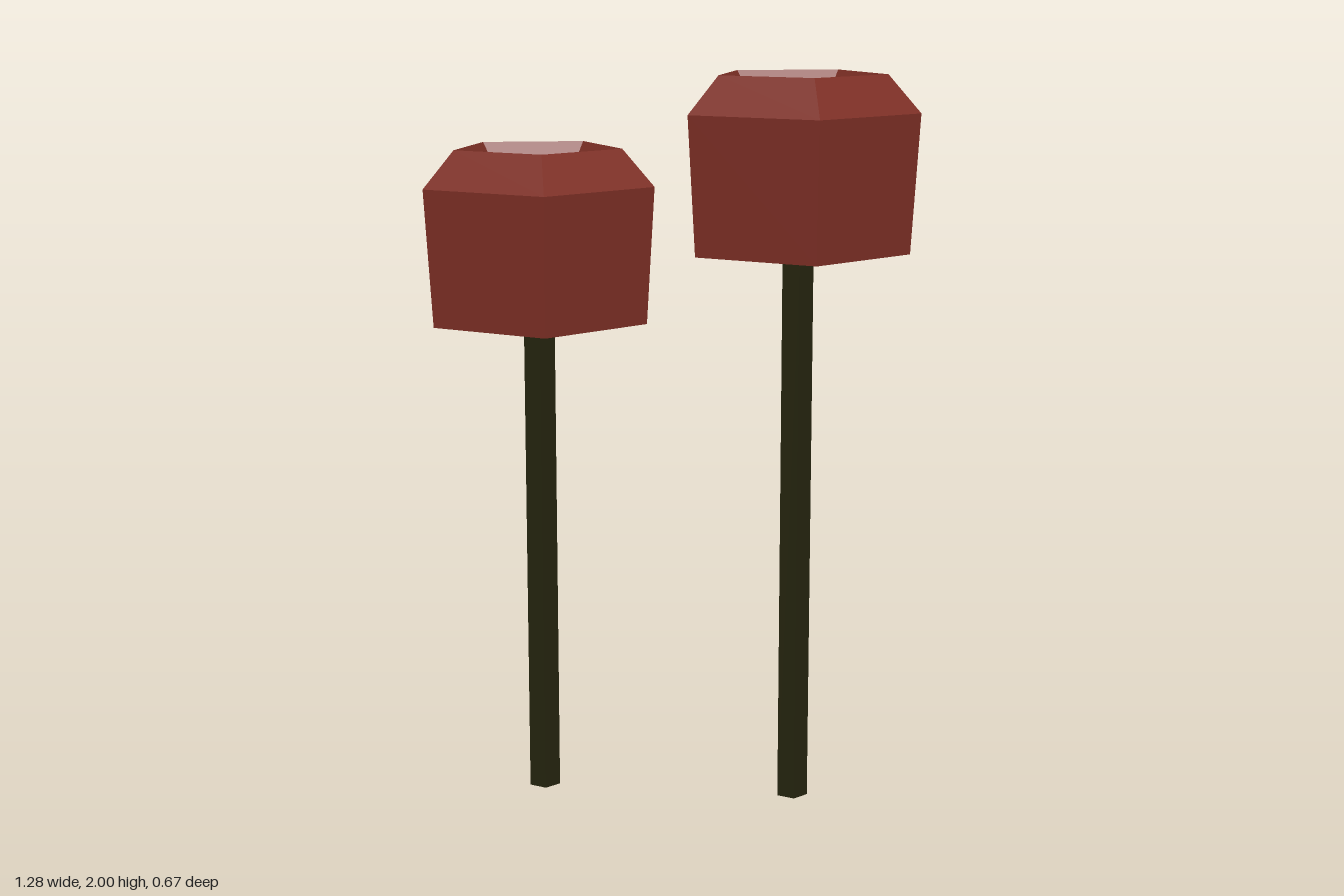
import * as THREE from 'three';

const SIDES = 5;

export function createModel() {
  const model = new THREE.Group();
  model.name = 'cattailPair';

  const red = new THREE.MeshStandardMaterial({ color: 0x7f3026, flatShading: true });
  red.name = 'rust red';
  const green = new THREE.MeshStandardMaterial({ color: 0x25240e, flatShading: true });
  green.name = 'dark olive';

  // Head profile: tip, underside, side, bevelled rim, then down into the hollow
  const profile = [
    [0, 0], [0.301, 0.03], [0.323, 0.4], [0.235, 0.5], [0, 0.2],
  ].map(([r, y]) => new THREE.Vector2(r, y));
  const headGeometry = new THREE.LatheGeometry(profile, SIDES, Math.PI / 2);

  // One five-sided stem carrying a hollow head, a corner pointing to +x
  function addStalk(name, x, z, stemHeight) {
    const stalk = new THREE.Group();
    stalk.name = name;
    stalk.position.set(x, 0, z);

    const stemGeometry = new THREE.CylinderGeometry(0.044, 0.044, stemHeight + 0.01, SIDES, 1, false, Math.PI / 2);
    const stem = new THREE.Mesh(stemGeometry, green);
    stem.name = 'stem';
    stem.position.y = (stemHeight + 0.01) / 2;

    const head = new THREE.Mesh(headGeometry, red);
    head.name = 'head';
    head.position.y = stemHeight;

    stalk.add(stem, head);
    model.add(stalk);
  }

  addStalk('shortStalk', -0.383, 0.027, 1.3);
  addStalk('tallStalk', 0.317, -0.03, 1.5);

  return model;
}
